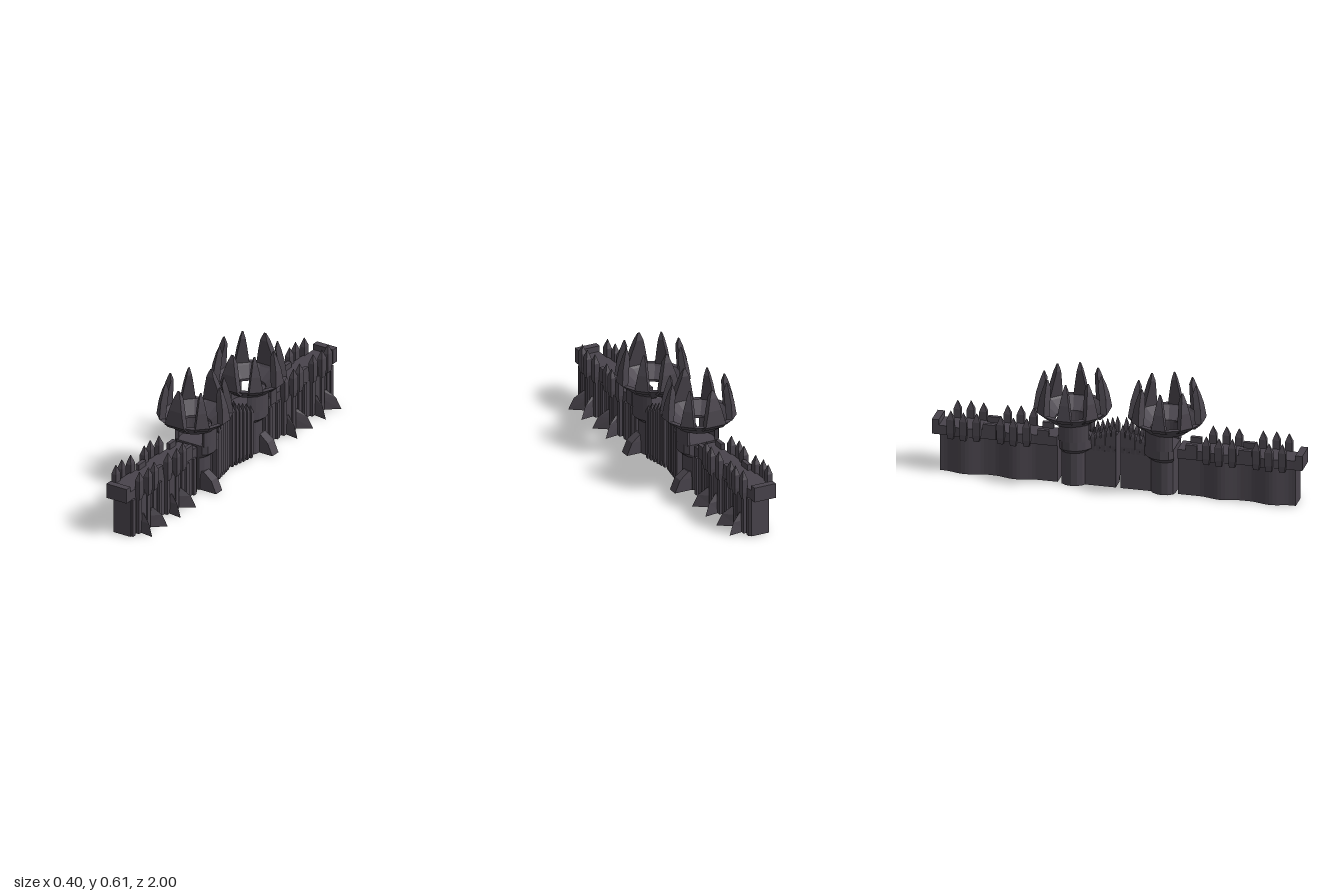
import * as THREE from 'three';

const material = new THREE.MeshStandardMaterial({ color: 0x49444c, flatShading: true });

// Skin a stack of rings (each anticlockwise seen from above) and cap both ends
function loft(rings) {
  const n = rings[0].length, pos = [], idx = [];
  rings.forEach(r => r.forEach(p => pos.push(...p)));
  for (let k = 0; k < rings.length - 1; k++) {
    for (let i = 0; i < n; i++) {
      const a = k * n + i, b = k * n + (i + 1) % n;
      idx.push(a, b, b + n, a, b + n, a + n);
    }
  }
  const top = (rings.length - 1) * n;
  for (let i = 1; i < n - 1; i++) idx.push(0, i + 1, i, top, top + i, top + i + 1);
  const g = new THREE.BufferGeometry();
  g.setAttribute('position', new THREE.Float32BufferAttribute(pos, 3));
  g.setIndex(idx);
  return finish(g);
}

function finish(g) {
  const flat = g.index ? g.toNonIndexed() : g;
  flat.computeVertexNormals();
  return flat;
}

const rect = (y, x0, x1, z0, z1) => [[x1, y, z1], [x1, y, z0], [x0, y, z0], [x0, y, z1]];
const box = (x0, x1, y0, y1, z0, z1) => loft([rect(y0, x0, x1, z0, z1), rect(y1, x0, x1, z0, z1)]);

// Vertical prism from a plan outline of [x, z] points
function prism(points, y0, y1) {
  const shape = new THREE.Shape(points.map(([x, z]) => new THREE.Vector2(x, -z)));
  const g = new THREE.ExtrudeGeometry(shape, { depth: y1 - y0, bevelEnabled: false });
  return finish(g.rotateX(-Math.PI / 2).translate(0, y0, 0));
}

// Pointed square stake
function stake(x, z, w, d, y0, shoulder, tip) {
  const r = (y, s) => rect(y, x - d * s, x + d * s, z - w * s, z + w * s);
  return loft([r(y0, 0.75), r(y0 + 0.035, 1), r(shoulder, 1), r(tip, 0.06)]);
}

// Tapering, inward leaning crown spike pointing out along +z
function crownSpike(w) {
  return loft([
    rect(0.385, -w, w, 0.14, 0.165),
    rect(0.415, -w, w, 0.165, 0.198),
    rect(0.5, -w * 0.66, w * 0.66, 0.152, 0.188),
    rect(0.565, -w * 0.36, w * 0.36, 0.142, 0.172),
    rect(0.605, -w * 0.1, w * 0.1, 0.152, 0.158),
  ]);
}

// Claw shaped foot pointing along +x
function claw() {
  const tri = (y, x, w) => [[x, y, 0], [0, y, -w], [0, y, w]];
  return loft([tri(0, 0.105, 0.026), tri(0.065, 0.075, 0.022), tri(0.105, 0.025, 0.014)]);
}

const clusters = [0.555, 0.825];
const bulge = z => clusters.reduce((s, c) => {
  const t = Math.abs(z - c) / 0.115;
  return s + (t < 1 ? 0.5 + 0.5 * Math.cos(Math.PI * t) : 0);
}, 0);

// Wall plan with rounded swellings at each stake cluster
function wallPlan(z0, z1, back, front, swell) {
  const left = [], right = [], steps = 32;
  for (let i = 0; i <= steps; i++) {
    const z = z0 + (z1 - z0) * i / steps, b = bulge(z) * swell;
    right.push([front + b, z]);
    left.unshift([-back - b, z]);
  }
  return [...right, ...left];
}

function buildHalf(add) {
  // Curtain wall and its overhanging walkway
  add('wall', prism(wallPlan(0.325, 0.96, 0.044, 0.06, 0.022), 0, 0.212));
  add('walkway', prism(wallPlan(0.325, 0.99, 0.06, 0.06, 0.012), 0.21, 0.262));
  add('wallEndCap', box(-0.063, 0.063, 0.212, 0.294, 0.962, 1));
  for (const side of [-1, 1]) {
    for (const [z, w] of [[0.69, 0.035], [0.4, 0.03]]) {
      const a = side * 0.064, b = side * 0.042;
      add('merlon', box(Math.min(a, b), Math.max(a, b), 0.215, 0.294, z - w, z + w));
    }
  }

  // Stake clusters, their pilasters and splayed claws
  for (const c of clusters) {
    for (const k of [-1, 0, 1]) {
      const z = c + k * 0.07, x = k ? 0.074 : 0.083;
      for (const side of [-1, 1]) {
        add('wallStake', stake(side * x, z, 0.02, 0.015, 0.2, 0.31, 0.357));
      }
      add('pilaster', box(0.045, x + 0.006, 0, 0.215, z - 0.014, z + 0.014));
    }
    for (const k of [-1, 1]) {
      add('claw', claw().rotateY(-k * 0.38).translate(0.06, 0, c + k * 0.035));
    }
  }
  for (const z of [0.36, 0.43, 0.69, 0.94]) {
    add('pilaster', box(0.045, 0.072, 0, 0.212, z - 0.012, z + 0.012));
  }

  // Tower: flared drum cut flat on the wall side
  const tz = 0.245, cut = 0.308, sides = 16;
  const at = (r, a) => [r * Math.cos(a), Math.min(cut, tz - r * Math.sin(a))];
  const ring = (r, y) => Array.from({ length: sides }, (_, i) => {
    const [x, z] = at(r, i / sides * Math.PI * 2);
    return [x, y, z];
  });
  add('tower', loft([ring(0.08, 0), ring(0.08, 0.185), ring(0.112, 0.212), ring(0.112, 0.262)]));

  // Side walls of the tower passage, open towards wall and gate
  const outer = [], inner = [];
  for (let i = 0; i <= 8; i++) {
    const a = -0.62 + i / 8 * 1.6;
    outer.push(at(0.112, a));
    inner.unshift(at(0.09, a));
  }
  const arc = [...outer, ...inner];
  add('passageWall', prism(arc, 0.26, 0.352));
  add('passageWall', prism(arc.map(([x, z]) => [-x, z]), 0.26, 0.352));
  add('towerButtress', loft([
    rect(0, 0.05, 0.16, 0.238, 0.296),
    rect(0.068, 0.05, 0.13, 0.238, 0.296),
    rect(0.106, 0.05, 0.079, 0.242, 0.292),
  ]));

  // Funnel shaped crown with a ring of spikes
  const cz = 0.258;
  const profile = [[0.09, 0.345], [0.112, 0.345], [0.2, 0.415], [0.172, 0.415], [0.09, 0.358], [0.09, 0.345]];
  const crown = new THREE.LatheGeometry(profile.map(p => new THREE.Vector2(...p)), 16);
  add('crown', finish(crown.rotateY(Math.PI / 16).translate(0, 0, cz)));
  for (let i = 0; i < 8; i++) {
    const spike = crownSpike(i % 4 ? 0.038 : 0.06);
    add('crownSpike', spike.rotateY(i * Math.PI / 4).translate(0, 0, cz - 0.003));
  }

  // Gate leaf: sloping panel faced with stakes that rise to the middle
  add('gateLeaf', loft([
    rect(0, -0.042, 0.042, 0.012, 0.185),
    rect(0.25, -0.042, 0.042, 0.012, 0.185),
    rect(0.29, -0.042, 0.042, 0.012, 0.03),
  ]));
  for (let i = 0; i < 6; i++) {
    const z = 0.024 + i * 0.028, tip = 0.37 - i * 0.011;
    const x = 0.044 + i * 0.005;
    add('gateStake', stake(x, z, 0.011, 0.016, 0, tip - 0.045, tip));
    add('gateBackStake', stake(-0.034, z, 0.011, 0.012, 0.2, tip - 0.05, tip - 0.01));
  }
}

// Flip a geometry in z, reversing the corner order of its triangles
function mirrored(g) {
  const m = g.clone(), p = m.attributes.position, src = g.attributes.position;
  for (let i = 0; i < p.count; i += 3) {
    [0, 2, 1].forEach((j, k) => p.setXYZ(i + k, src.getX(i + j), src.getY(i + j), -src.getZ(i + j)));
  }
  m.computeVertexNormals();
  return m;
}

export function createModel() {
  const model = new THREE.Group();
  const near = new THREE.Group(), far = new THREE.Group();
  near.name = 'frontHalf';
  far.name = 'backHalf';
  buildHalf((name, geometry) => {
    for (const [group, g] of [[near, geometry], [far, mirrored(geometry)]]) {
      const mesh = new THREE.Mesh(g, material);
      mesh.name = name;
      group.add(mesh);
    }
  });
  model.add(near, far);
  model.name = 'gateWall';
  return model;
}
